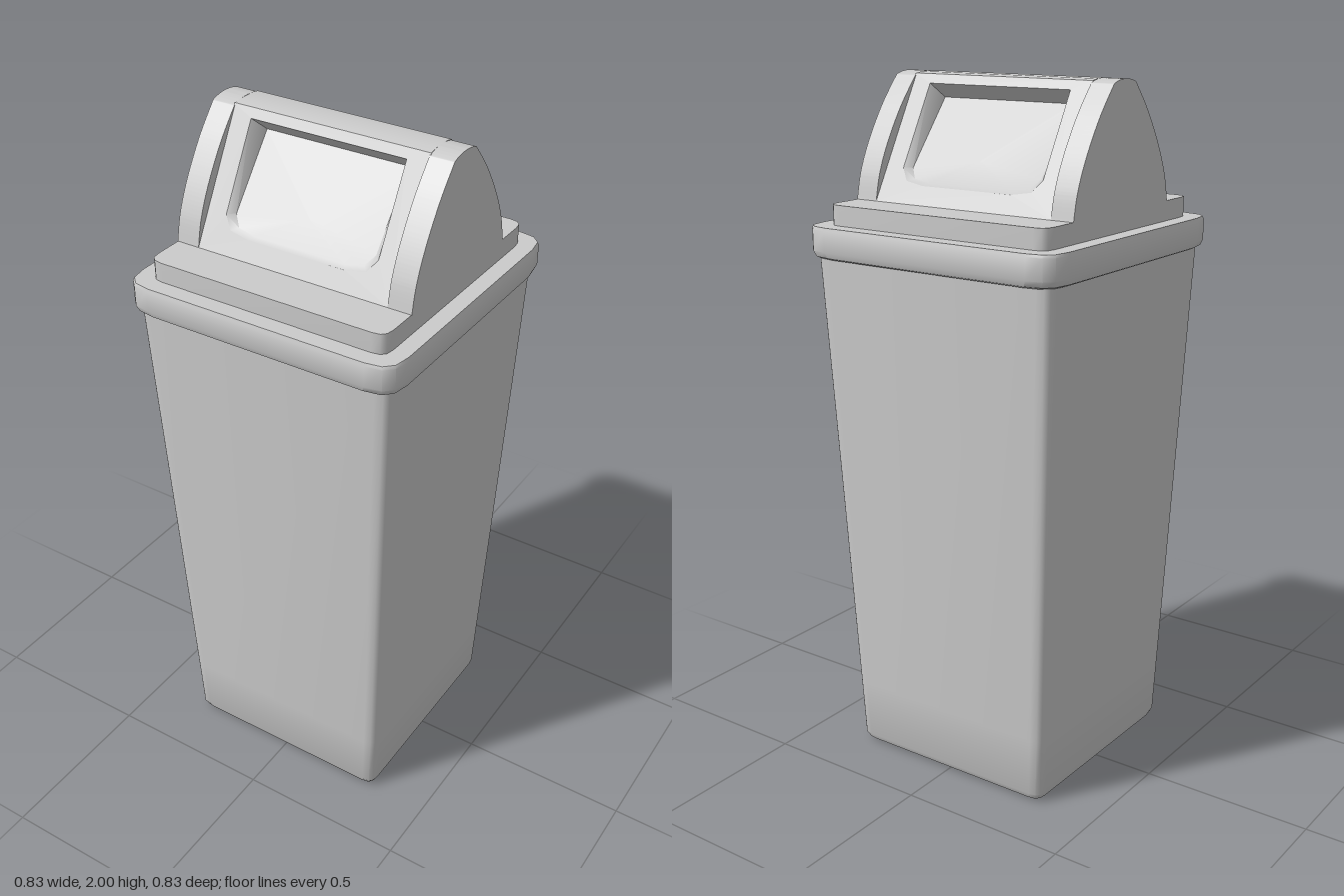
import * as THREE from 'three';
import { toCreasedNormals } from 'three/addons/utils/BufferGeometryUtils.js';

const material = new THREE.MeshStandardMaterial({ color: 0xcccccc, side: THREE.DoubleSide });

function part(name, geometry, parent, x = 0) {
  const mesh = new THREE.Mesh(geometry, material);
  mesh.name = name;
  mesh.position.x = x;
  parent.add(mesh);
  return mesh;
}

// Horizontal square with softened corners; r is the corner length
function squareRing(y, h, r) {
  const corner = [[h, h - r], [h - 0.1 * r, h - 0.4 * r], [h - 0.4 * r, h - 0.1 * r], [h - r, h]];
  const ring = [];
  for (let q = 0; q < 4; q++) {
    const c = Math.round(Math.cos(q * Math.PI / 2)), s = Math.round(Math.sin(q * Math.PI / 2));
    for (const [a, b] of corner) ring.push(new THREE.Vector3(a * c - b * s, y, -(a * s + b * c)));
  }
  return ring;
}

// Skin a series of matching rings, with optional flat ends
function loft(rings, capStart, capEnd, crease = 0.7) {
  const n = rings[0].length, points = rings.flat(), index = [];
  for (let i = 0; i < rings.length - 1; i++) {
    for (let j = 0; j < n; j++) {
      const a = i * n + j, b = i * n + (j + 1) % n;
      index.push(a, b, b + n, a, b + n, a + n);
    }
  }
  const cap = (start, flip) => {
    const center = new THREE.Vector3();
    for (let j = 0; j < n; j++) center.addScaledVector(points[start + j], 1 / n);
    const c = points.push(center) - 1;
    for (let j = 0; j < n; j++) {
      const a = start + j, b = start + (j + 1) % n;
      index.push(c, flip ? b : a, flip ? a : b);
    }
  };
  if (capStart) cap(0, true);
  if (capEnd) cap((rings.length - 1) * n, false);
  const geometry = new THREE.BufferGeometry().setFromPoints(points);
  geometry.setIndex(index);
  return toCreasedNormals(geometry, crease);
}

// Extrude a (z, y) profile across x, centred
function crossExtrude(shape, width) {
  const geometry = new THREE.ExtrudeGeometry(shape, { depth: width, bevelEnabled: false, curveSegments: 24 });
  geometry.translate(0, 0, -width / 2).rotateY(-Math.PI / 2);
  return toCreasedNormals(geometry, 0.5);
}

// Sloping face of the hood: s runs from its foot (0) to the ridge (1)
const onSlope = (x, s) => new THREE.Vector3(x, 1.655 + 0.34 * s, 0.24 - 0.19 * s);

function slopePanel(outline, halfWidth) {
  const shape = new THREE.Shape([[-halfWidth, 0], [halfWidth, 0], [halfWidth, 1], [-halfWidth, 1]]
    .map(([x, y]) => new THREE.Vector2(x, y)));
  shape.holes.push(new THREE.Path(outline.map(([x, s]) => new THREE.Vector2(x, s))));
  const geometry = new THREE.ShapeGeometry(shape);
  const p = geometry.attributes.position;
  for (let i = 0; i < p.count; i++) {
    const v = onSlope(p.getX(i), p.getY(i));
    p.setXYZ(i, v.x, v.y, v.z);
  }
  geometry.computeVertexNormals();
  return geometry;
}

export function createModel() {
  const model = new THREE.Group();
  model.name = 'swingTopBin';

  // Tapered container with a softened foot
  part('body', loft([
    squareRing(0, 0.3, 0.03), squareRing(0.008, 0.322, 0.035), squareRing(0.025, 0.33, 0.035),
    squareRing(0.2, 0.337, 0.035), squareRing(1.53, 0.392, 0.04),
  ], true, true), model);

  // Lid rim and raised step
  part('lidRim', loft([
    squareRing(1.508, 0.398, 0.08), squareRing(1.514, 0.409, 0.08), squareRing(1.53, 0.415, 0.08),
    squareRing(1.59, 0.415, 0.08), squareRing(1.598, 0.412, 0.08),
  ], true, true), model);
  part('lidStep', loft([squareRing(1.59, 0.363, 0.04), squareRing(1.655, 0.363, 0.04)], false, true), model);

  const hood = new THREE.Group();
  hood.name = 'hood';
  model.add(hood);

  // Arched cheeks at both ends
  const side = [[0.24, 1.655], [0.222, 1.73], [0.183, 1.815], [0.122, 1.91], [0.055, 1.99]];
  const cheek = new THREE.Shape();
  cheek.moveTo(-0.24, 1.655);
  cheek.lineTo(0.24, 1.655);
  cheek.splineThru(side.slice(1).map(([z, y]) => new THREE.Vector2(z, y)));
  cheek.quadraticCurveTo(0.03, 2, 0, 2);
  cheek.quadraticCurveTo(-0.03, 2, -0.055, 1.99);
  cheek.splineThru(side.slice(0, -1).reverse().map(([z, y]) => new THREE.Vector2(-z, y)));
  const cheekGeometry = crossExtrude(cheek, 0.07);
  part('leftCheek', cheekGeometry, hood, 0.329);
  part('rightCheek', cheekGeometry, hood, -0.329);

  // Ridge between the cheeks
  const ridge = new THREE.Shape([[-0.05, 1.98], [0.05, 1.98], [0.05, 1.995], [0.025, 1.999], [-0.025, 1.999], [-0.05, 1.995]]
    .map(([z, y]) => new THREE.Vector2(z, y)));
  part('ridge', crossExtrude(ridge, 0.59), hood);

  // Sloping panels with a recessed swing flap, front and back
  const half = [[0.15, 0.147], [0.21, 0.175], [0.235, 0.27], [0.235, 0.926]];
  const outline = [...half, ...half.map(([x, s]) => [-x, s]).reverse()];
  const opening = outline.map(([x, s]) => onSlope(x, s));
  const inner = outline.map(([x, s]) => {
    const t = (s - 0.147) / 0.779;
    return new THREE.Vector3(x * 0.92, 1.712 + 0.218 * t, 0.197 - 0.177 * t);
  });
  const panelGeometry = slopePanel(outline, 0.297);
  const flapGeometry = loft([opening, inner], false, true, 0.6);
  for (const [name, turn] of [['front', 0], ['back', Math.PI]]) {
    part(name + 'Panel', panelGeometry, hood).rotation.y = turn;
    part(name + 'FlapRecess', flapGeometry, hood).rotation.y = turn;
  }
  return model;
}
